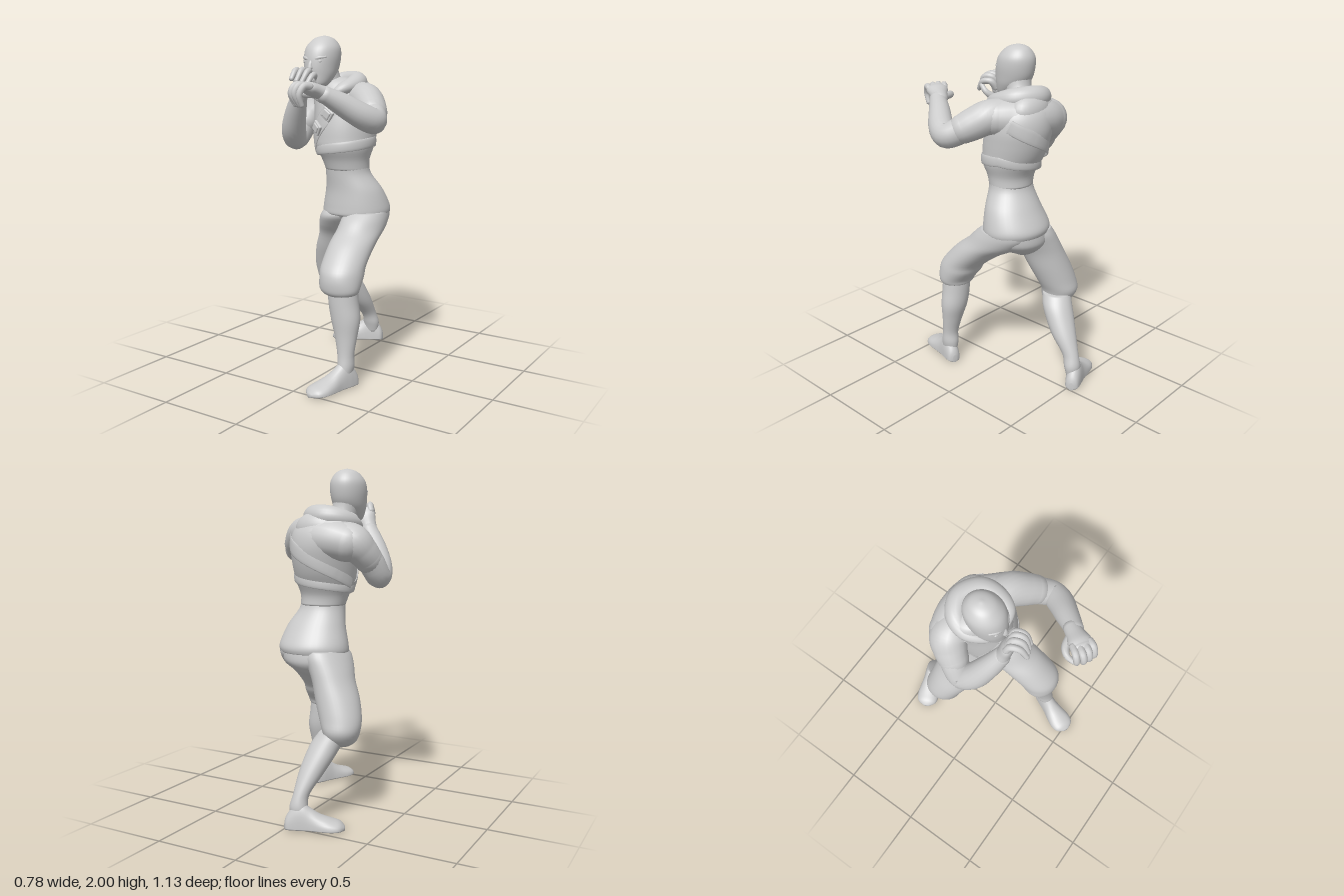
import * as THREE from 'three';
import { RoundedBoxGeometry } from 'three/addons/geometries/RoundedBoxGeometry.js';

const V = (x, y, z) => new THREE.Vector3(x, y, z);
const material = new THREE.MeshStandardMaterial({ color: 0xcccccc, roughness: 0.8 });

// Catmull-Rom through rows of numbers
function smooth(rows, n) {
  const out = [], last = rows.length - 1;
  for (let k = 0; k <= n; k++) {
    const u = (k / n) * last, i = Math.min(Math.floor(u), last - 1), t = u - i;
    const [a, b, c, d] = [i - 1, i, i + 1, i + 2].map(j => rows[Math.max(0, Math.min(last, j))]);
    out.push(b.map((p, m) => 0.5 * (2 * p + (c[m] - a[m]) * t + (2 * a[m] - 5 * p + 4 * c[m] - d[m]) * t * t
      + (3 * p - a[m] - 3 * c[m] + d[m]) * t * t * t)));
  }
  return out;
}

// Closed skin over rings of equal length, always facing outwards
function skin(name, rings) {
  const n = rings[0].length, m = rings.length, pts = rings.flat(), index = [];
  for (const r of [rings[0], rings[m - 1]]) {
    pts.push(r.reduce((s, p) => s.add(p), V(0, 0, 0)).divideScalar(n));
  }
  for (let j = 0; j < n; j++) {
    const k = (j + 1) % n;
    for (let i = 0; i < m - 1; i++) {
      const a = i * n + j, b = i * n + k;
      index.push(a, b, b + n, a, b + n, a + n);
    }
    index.push(m * n, k, j, m * n + 1, (m - 1) * n + j, (m - 1) * n + k);
  }
  let volume = 0;
  for (let i = 0; i < index.length; i += 3) {
    volume += pts[index[i]].dot(V(0, 0, 0).crossVectors(pts[index[i + 1]], pts[index[i + 2]]));
  }
  if (volume < 0) index.reverse();
  const g = new THREE.BufferGeometry().setFromPoints(pts);
  g.setIndex(index);
  g.computeVertexNormals();
  const mesh = new THREE.Mesh(g, material);
  mesh.name = name;
  return mesh;
}

// Stack of level ellipses: [y, centre x, centre z, radius x, radius z]
function stack(name, rows, n = 32, sides = 36) {
  return skin(name, smooth(rows, n).map(([y, cx, cz, rx, rz]) => Array.from({ length: sides }, (_, j) => {
    const a = j / sides * Math.PI * 2;
    return V(cx + rx * Math.sin(a), y, cz + rz * Math.cos(a));
  })));
}

// Round-ended tube: [x, y, z, width radius, depth radius]; out(p) gives the depth direction
function tube(name, rows, out = () => V(0.3, 0.2, 1), n = 24, sides = 20) {
  const list = smooth(rows, n), c = list.map(r => V(r[0], r[1], r[2]));
  const rings = [];
  const ring = (i, size, push) => {
    const t = c[Math.min(i + 1, n)].clone().sub(c[Math.max(i - 1, 0)]).normalize();
    const s = V(0, 0, 0).crossVectors(t, out(c[i])).normalize(), d = V(0, 0, 0).crossVectors(s, t);
    const [, , , w, h] = list[i];
    rings.push(Array.from({ length: sides }, (_, j) => {
      const a = j / sides * Math.PI * 2;
      return c[i].clone().addScaledVector(t, push * Math.min(w, h))
        .addScaledVector(s, Math.cos(a) * w * size).addScaledVector(d, Math.sin(a) * h * size);
    }));
  };
  const dome = [0.15, 0.45, 0.8, 1.15].map(a => [Math.cos(a), Math.sin(a)]);
  [...dome].reverse().forEach(([s, p]) => ring(0, s, -p));
  for (let i = 0; i <= n; i++) ring(i, 1, 0);
  dome.forEach(([s, p]) => ring(n, s, p));
  return skin(name, rings);
}

function blob(name, x, y, z, rx, ry, rz) {
  const mesh = new THREE.Mesh(new THREE.SphereGeometry(1, 28, 18), material);
  mesh.name = name;
  mesh.position.set(x, y, z);
  mesh.scale.set(rx, ry, rz);
  return mesh;
}

// Loosely curled hand: d along the palm, n out of its back, s towards the thumb
function hand(name, wrist, dir, back, sign) {
  const g = new THREE.Group(), d = dir.normalize();
  g.name = name;
  const s = V(0, 0, 0).crossVectors(back, d).normalize().multiplyScalar(sign);
  const n = V(0, 0, 0).crossVectors(d, s).multiplyScalar(sign);
  const at = (a, b, c, w, h = w) => [...wrist.clone().addScaledVector(s, a).addScaledVector(n, b).addScaledVector(d, c).toArray(), w, h];
  const palm = [[-0.03, 0.046, 0.042], [0.02, 0.052, 0.039], [0.07, 0.064, 0.037], [0.1, 0.058, 0.028]];
  g.add(tube(name + 'Palm', palm.map(([c, w, h]) => at(0, 0, c, w, h)), () => n));
  for (let i = 0; i < 4; i++) {
    const x = 0.046 - 0.031 * i, l = [0, 0.01, 0.004, -0.01][i];
    g.add(tube(name + 'Finger', [at(x, 0.006, 0.09, 0.02), at(x * 1.1, -0.004, 0.136 + l, 0.0195),
      at(x * 1.1, -0.055, 0.146 + l, 0.0175), at(x, -0.1, 0.105, 0.014)], () => s, 14, 10));
  }
  g.add(tube(name + 'Thumb', [at(0.03, -0.012, 0.015, 0.026), at(0.072, -0.025, 0.052, 0.022),
    at(0.082, -0.045, 0.095, 0.018), at(0.062, -0.064, 0.13, 0.014)], () => n, 14, 10));
  return g;
}

// Flat-soled foot from heel to toe: [distance, half width, height]
function foot(name, heel, toe) {
  const u = toe.clone().sub(heel).normalize(), s = V(u.z, 0, -u.x);
  const rows = [[0, 0.014, 0.05], [0.015, 0.038, 0.09], [0.06, 0.047, 0.15], [0.1, 0.05, 0.162], [0.145, 0.055, 0.128],
    [0.2, 0.067, 0.092], [0.26, 0.075, 0.069], [0.31, 0.062, 0.052], [0.338, 0.018, 0.026]];
  return skin(name, smooth(rows, 32).map(([t, w, h]) => Array.from({ length: 28 }, (_, j) => {
    const a = j / 28 * Math.PI * 2, y = Math.sin(a);
    const p = heel.clone().addScaledVector(u, t).addScaledVector(s, w * Math.cos(a));
    p.y = 0.018 + (y > 0 ? y ** 0.85 * (h - 0.018) : y * 0.016);
    return p;
  })));
}

export function createModel() {
  const model = new THREE.Group();
  const add = (...parts) => model.add(...parts);

  // Trousers, calves and feet
  add(stack('pelvis', [[0.79, 0.0, -0.13, 0.03, 0.04], [0.81, 0.005, -0.135, 0.06, 0.075], [0.85, 0.02, -0.15, 0.12, 0.115],
    [0.9, 0.03, -0.15, 0.175, 0.15], [0.97, 0.036, -0.125, 0.2, 0.172]]));
  add(stack('leftTrouserLeg', [[0.97, 0.125, -0.115, 0.12, 0.155], [0.93, 0.124, -0.085, 0.128, 0.178], [0.87, 0.128, -0.025, 0.13, 0.178],
    [0.8, 0.136, 0.083, 0.13, 0.16], [0.7, 0.148, 0.197, 0.128, 0.138], [0.64, 0.155, 0.23, 0.127, 0.13], [0.58, 0.158, 0.255, 0.122, 0.103],
    [0.55, 0.163, 0.255, 0.105, 0.09], [0.535, 0.165, 0.255, 0.075, 0.065]]));
  add(stack('rightTrouserLeg', [[0.97, -0.045, -0.13, 0.115, 0.16], [0.93, -0.06, -0.13, 0.127, 0.175], [0.87, -0.092, -0.152, 0.125, 0.162],
    [0.8, -0.125, -0.182, 0.12, 0.142], [0.7, -0.165, -0.21, 0.127, 0.133], [0.6, -0.2, -0.24, 0.122, 0.122], [0.53, -0.215, -0.257, 0.107, 0.115],
    [0.47, -0.207, -0.245, 0.088, 0.092], [0.44, -0.2, -0.235, 0.055, 0.055]]));
  add(stack('leftCalf', [[0.6, 0.175, 0.25, 0.085, 0.08], [0.5, 0.18, 0.25, 0.09, 0.08], [0.4, 0.195, 0.252, 0.088, 0.075],
    [0.3, 0.205, 0.263, 0.068, 0.058], [0.2, 0.212, 0.276, 0.05, 0.047], [0.13, 0.215, 0.278, 0.048, 0.055], [0.07, 0.215, 0.285, 0.036, 0.055]]));
  add(stack('rightCalf', [[0.52, -0.175, -0.27, 0.085, 0.085], [0.46, -0.145, -0.3, 0.09, 0.09], [0.39, -0.122, -0.34, 0.085, 0.088],
    [0.3, -0.096, -0.395, 0.07, 0.078], [0.2, -0.075, -0.465, 0.046, 0.052], [0.13, -0.068, -0.488, 0.052, 0.048], [0.07, -0.075, -0.49, 0.05, 0.034]]));
  add(foot('leftFoot', V(0.243, 0, 0.21), V(0.125, 0, 0.53)), foot('rightFoot', V(-0.003, 0, -0.533), V(-0.31, 0, -0.39)));

  // Tunic skirt and upper body
  add(stack('tunic', [[0.945, 0.035, -0.122, 0.19, 0.165], [0.955, 0.036, -0.122, 0.208, 0.181], [1, 0.038, -0.122, 0.207, 0.181],
    [1.1, 0.036, -0.095, 0.177, 0.15], [1.2, 0.015, -0.062, 0.138, 0.124], [1.28, 0.01, -0.05, 0.135, 0.12]]));
  const vest = [[1.22, 0.012, -0.058, 0.134, 0.122], [1.28, 0.004, -0.05, 0.146, 0.133], [1.35, -0.003, -0.05, 0.174, 0.168], [1.41, -0.007, -0.065, 0.183, 0.184],
    [1.48, -0.01, -0.08, 0.19, 0.193], [1.56, -0.015, -0.095, 0.196, 0.193], [1.64, -0.03, -0.1, 0.195, 0.178],
    [1.7, -0.05, -0.09, 0.175, 0.15], [1.74, -0.07, -0.075, 0.13, 0.11], [1.76, -0.08, -0.06, 0.07, 0.06]];
  add(stack('vest', vest, 40, 48));
  add(tube('shoulders', [[-0.2, 1.58, -0.165, 0.105, 0.1], [-0.11, 1.6, -0.17, 0.115, 0.115], [0, 1.61, -0.155, 0.115, 0.12],
    [0.07, 1.62, -0.1, 0.112, 0.11], [0.13, 1.625, -0.05, 0.1, 0.1]], () => V(0.2, 0, -1)));

  // Straps wound on the vest, given by start and end angle and height
  const table = smooth(vest, 200);
  const onVest = (a, y) => {
    const r = table.find(q => q[0] >= y);
    return V(r[1] + r[3] * Math.sin(a), y, r[2] + r[4] * Math.cos(a));
  };
  const outward = p => V(p.x + 0.01, 0, p.z + 0.08);
  const strap = (name, a0, y0, a1, y1, w) => add(tube(name, Array.from({ length: 25 }, (_, k) => {
    const t = k / 24;
    return [...onVest(a0 + (a1 - a0) * t, y0 + (y1 - y0) * t).toArray(), w, 0.006];
  }), outward, 48, 12));
  strap('chestStrap', -1.2, 1.33, 0.55, 1.665, 0.05);
  strap('backStrap', 2.0, 1.6, 4.6, 1.36, 0.04);
  strap('sash', -1.6, 1.32, 1.8, 1.39, 0.03);
  strap('sashBack', 1.8, 1.39, 4.7, 1.32, 0.03);
  for (const [a, y] of [[-0.48, 1.468], [-0.05, 1.55]]) {
    const buckle = new THREE.Group(), p = onVest(a, y);
    for (const [size, z] of [[0.078, 0.008], [0.055, 0.015]]) {
      const plate = new THREE.Mesh(new RoundedBoxGeometry(size, size * 0.85, 0.02, 3, 0.008), material);
      plate.position.z = z;
      plate.rotation.z = -0.6;
      buckle.add(plate);
    }
    buckle.name = 'buckle';
    buckle.position.copy(p);
    buckle.lookAt(p.clone().add(outward(p)));
    add(buckle);
  }

  // Lowered hood around the neck
  add(tube('hood', [[-0.03, 1.64, 0.08, 0.025, 0.02], [0.035, 1.69, 0.05, 0.045, 0.035], [0.06, 1.715, -0.04, 0.058, 0.05], [0.035, 1.73, -0.125, 0.062, 0.062],
    [-0.06, 1.73, -0.175, 0.065, 0.065], [-0.155, 1.715, -0.135, 0.058, 0.055], [-0.185, 1.685, -0.05, 0.048, 0.04],
    [-0.145, 1.66, 0.045, 0.03, 0.025], [-0.08, 1.63, 0.08, 0.022, 0.02]], () => V(0, 1, 0.01), 60));
  add(blob('hoodBack', -0.02, 1.66, -0.17, 0.14, 0.1, 0.09));

  // Arms and sleeves
  add(tube('leftSleeve', [[0.08, 1.64, -0.07, 0.095, 0.095], [0.16, 1.63, -0.02, 0.097, 0.097], [0.222, 1.595, 0.035, 0.09, 0.093], [0.262, 1.568, 0.075, 0.082, 0.085]]));
  add(tube('leftArm', [[0.22, 1.6, 0.03, 0.075, 0.075], [0.28, 1.55, 0.1, 0.074, 0.076], [0.316, 1.525, 0.16, 0.071, 0.073], [0.285, 1.555, 0.23, 0.073, 0.072],
    [0.215, 1.617, 0.315, 0.063, 0.063], [0.155, 1.668, 0.39, 0.05, 0.047]], () => V(0, 1, 0)));
  add(hand('leftHand', V(0.135, 1.682, 0.4), V(-0.5, 0.3, 0.75), V(-0.05, 1, 0.1), -1));
  add(tube('rightSleeve', [[-0.15, 1.61, -0.14, 0.1, 0.1], [-0.225, 1.585, -0.14, 0.103, 0.105], [-0.265, 1.535, -0.105, 0.09, 0.095], [-0.287, 1.49, -0.07, 0.082, 0.085]]));
  add(tube('rightArm', [[-0.25, 1.56, -0.11, 0.075, 0.075], [-0.295, 1.48, -0.06, 0.074, 0.078], [-0.318, 1.392, 0.002, 0.07, 0.072],
    [-0.29, 1.45, 0.07, 0.074, 0.073], [-0.235, 1.555, 0.125, 0.064, 0.063], [-0.18, 1.65, 0.165, 0.05, 0.047]], () => V(1, 0, 0.1)));
  add(hand('rightHand', V(-0.17, 1.667, 0.17), V(0.4, 0.85, 0.12), V(-0.2, 0.35, -0.9), 1));

  // Neck, head and face
  add(tube('neck', [[-0.08, 1.66, -0.05, 0.08, 0.08], [-0.1, 1.75, -0.015, 0.075, 0.075], [-0.11, 1.82, 0, 0.075, 0.08]]));
  add(stack('head', [[1.705, -0.11, 0.08, 0.035, 0.04], [1.72, -0.11, 0.072, 0.062, 0.066], [1.77, -0.112, 0.045, 0.087, 0.098],
    [1.82, -0.113, 0.03, 0.098, 0.116], [1.88, -0.113, 0.02, 0.104, 0.12], [1.93, -0.113, 0.012, 0.098, 0.11],
    [1.97, -0.113, 0.005, 0.072, 0.08], [1.99, -0.113, 0.002, 0.043, 0.048], [2, -0.113, 0, 0.006, 0.006]], 40));
  add(tube('nose', [[-0.115, 1.855, 0.132, 0.01, 0.01], [-0.116, 1.835, 0.14, 0.013, 0.014], [-0.117, 1.815, 0.142, 0.018, 0.018]]));
  for (const s of [-1, 1]) {
    const x = -0.115 + s * 0.045;
    add(tube('brow', [[x - 0.032 * s, 1.86, 0.132, 0.009, 0.01], [x, 1.87, 0.124, 0.01, 0.011], [x + 0.03 * s, 1.875, 0.1, 0.007, 0.008]], () => V(0, 1, 0), 12, 12));
    add(blob('eye', x, 1.85, 0.122, 0.017, 0.008, 0.01));
  }
  return model;
}
